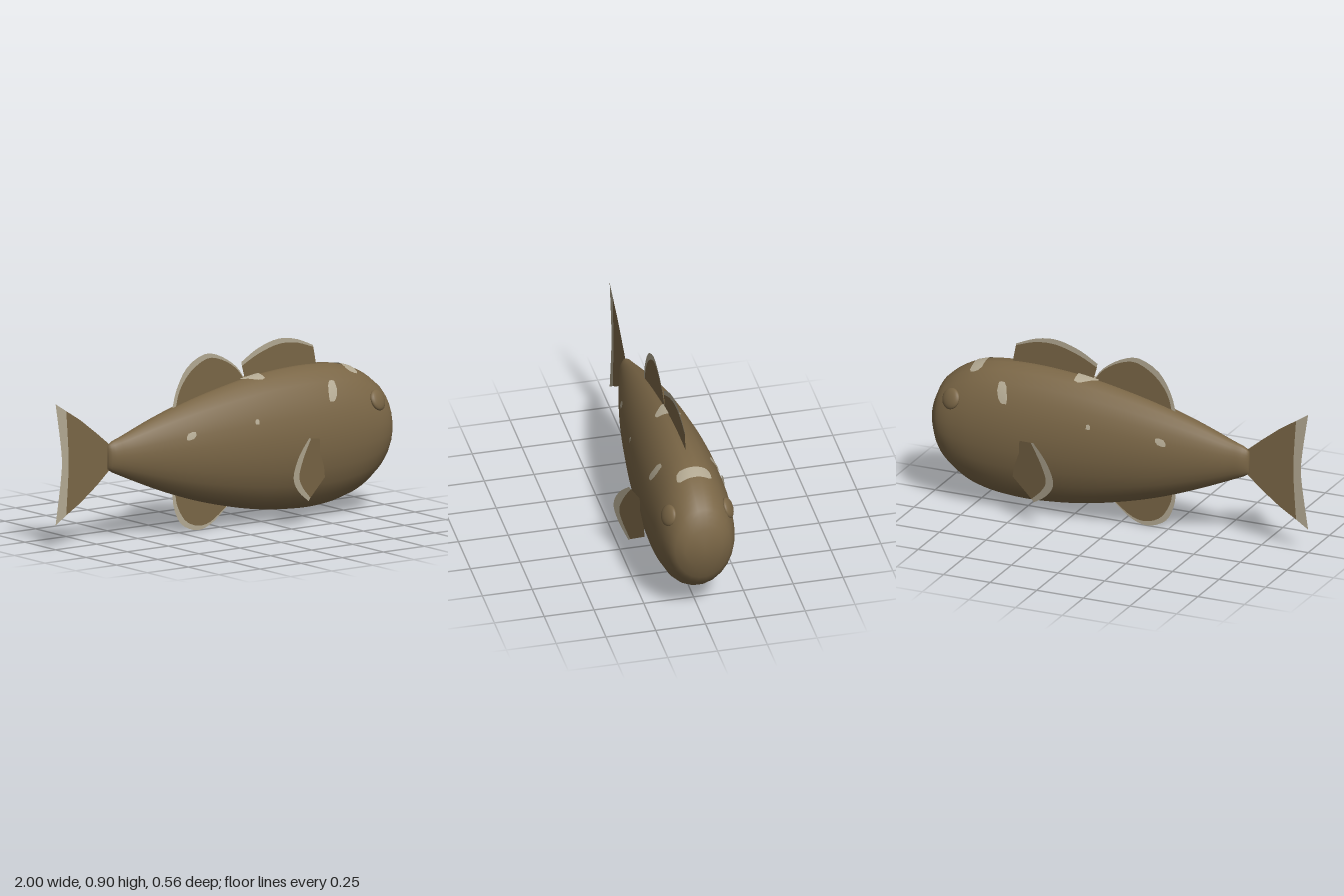
import * as THREE from 'three';

// body stations: x, top y, bottom y, half width
const STATIONS = [
  [-0.685, 0.485, 0.37, 0.016], [-0.665, 0.5, 0.355, 0.032], [-0.6, 0.523, 0.325, 0.052],
  [-0.4, 0.595, 0.24, 0.1], [-0.2, 0.655, 0.167, 0.138], [0, 0.702, 0.112, 0.166],
  [0.2, 0.738, 0.072, 0.186], [0.4, 0.756, 0.052, 0.199], [0.55, 0.757, 0.05, 0.203],
  [0.7, 0.742, 0.071, 0.199], [0.8, 0.71, 0.107, 0.19], [0.9, 0.647, 0.18, 0.167],
  [0.945, 0.598, 0.24, 0.14], [0.975, 0.53, 0.325, 0.095],
];
const NOSE = [1, 0.43, 0];
const profile = new THREE.CubicInterpolant(
  STATIONS.map(s => s[0]), STATIONS.flatMap(s => s.slice(1)), 3);

// point on the body skin; angle runs from +z (side) to +y (top)
function skin(x, angle, lift = 0) {
  const [top, bottom, width] = profile.evaluate(x);
  const h = (top - bottom) / 2 + lift;
  return [x, (top + bottom) / 2 + h * Math.sin(angle), (width + lift) * Math.cos(angle)];
}

function meshGeometry(points, index) {
  const g = new THREE.BufferGeometry();
  g.setAttribute('position', new THREE.Float32BufferAttribute(points.flat(), 3));
  g.setIndex(index);
  g.computeVertexNormals();
  return g;
}

function bodyGeometry() {
  const rings = 48, sides = 24, points = [], index = [];
  for (let i = 0; i <= rings; i++) {
    const t = i / rings;
    const x = -0.685 + 1.66 * (0.35 * t + 0.65 * (1 - Math.cos(Math.PI * t)) / 2);
    for (let j = 0; j < sides; j++) points.push(skin(x, (j + 0.5) / sides * Math.PI * 2));
  }
  const nose = points.push(NOSE) - 1;
  const tail = points.push([-0.685, 0.4275, 0]) - 1;
  for (let j = 0; j < sides; j++) {
    const k = (j + 1) % sides, last = rings * sides;
    for (let i = 0; i < rings; i++) {
      const a = i * sides + j, b = a + sides, c = i * sides + k, d = c + sides;
      index.push(a, b, c, b, d, c);
    }
    index.push(last + j, nose, last + k, tail, j, k);
  }
  return meshGeometry(points, index);
}

// pale marking following the skin; rows are [x, start angle, end angle]
function markingGeometry(rows) {
  const n = 8, points = [], index = [];
  rows.forEach(([x, a0, a1], i) => {
    for (let j = 0; j <= n; j++) points.push(skin(x, a0 + (a1 - a0) * j / n, 0.003));
    if (i === 0) return;
    for (let j = 0; j < n; j++) {
      const a = (i - 1) * (n + 1) + j, b = a + n + 1;
      index.push(a, b, a + 1, b, b + 1, a + 1);
    }
  });
  return meshGeometry(points, index);
}

const vecs = pts => pts.map(p => new THREE.Vector2(...p));
const smooth = pts => new THREE.SplineCurve(vecs(pts)).getPoints(18);

export function createModel() {
  const model = new THREE.Group();
  model.name = 'fish';
  const olive = new THREE.MeshStandardMaterial({ color: 0x7a6646, side: THREE.DoubleSide });
  olive.name = 'olive brown';
  const pale = new THREE.MeshStandardMaterial({ color: 0xb3a992, side: THREE.DoubleSide });
  pale.name = 'pale grey';

  function add(name, geometry, material, parent = model) {
    const mesh = new THREE.Mesh(geometry, material);
    mesh.name = name;
    parent.add(mesh);
    return mesh;
  }

  add('body', bodyGeometry(), olive);

  // flat fin: olive web up to the inner line, pale rim between inner and outer lines
  function fin(name, outer, inner, root, place) {
    const group = new THREE.Group();
    group.name = name;
    const o = smooth(outer), i = smooth(inner);
    const web = new THREE.ShapeGeometry(new THREE.Shape([...i, ...vecs(root)]));
    const rim = new THREE.ShapeGeometry(new THREE.Shape([...o, ...i.slice().reverse()]));
    for (const g of [web, rim]) {
      if (!place) continue;
      const p = g.attributes.position;
      for (let k = 0; k < p.count; k++) p.setZ(k, place(p.getX(k)));
      g.computeVertexNormals();
    }
    add(name + 'Web', web, olive, group);
    add(name + 'Rim', rim, pale, group);
    model.add(group);
  }

  fin('rearDorsalFin',
    [[-0.29, 0.62], [-0.265, 0.715], [-0.2, 0.82], [-0.09, 0.875], [0.01, 0.85], [0.1, 0.79], [0.145, 0.73]],
    [[-0.27, 0.62], [-0.245, 0.71], [-0.18, 0.795], [-0.08, 0.85], [0.01, 0.835], [0.095, 0.785], [0.143, 0.727]],
    [[0.155, 0.7], [-0.05, 0.63], [-0.28, 0.58]]);
  fin('frontDorsalFin',
    [[0.13, 0.81], [0.23, 0.867], [0.35, 0.9], [0.46, 0.888], [0.565, 0.846]],
    [[0.133, 0.79], [0.23, 0.838], [0.35, 0.873], [0.46, 0.87], [0.567, 0.836]],
    [[0.59, 0.72], [0.16, 0.69]]);
  fin('analFin',
    [[-0.29, 0.21], [-0.28, 0.13], [-0.235, 0.045], [-0.14, 0.005], [-0.05, 0.03], [0.045, 0.105]],
    [[-0.272, 0.21], [-0.26, 0.14], [-0.21, 0.06], [-0.13, 0.026], [-0.05, 0.042], [0.043, 0.108]],
    [[0.05, 0.14], [-0.1, 0.19], [-0.27, 0.24]]);
  fin('tailFin',
    [[-1, 0.728], [-0.965, 0.49], [-0.965, 0.37], [-1, 0.125]],
    [[-0.935, 0.686], [-0.922, 0.49], [-0.922, 0.37], [-0.935, 0.168]],
    [[-0.85, 0.22], [-0.75, 0.295], [-0.665, 0.37], [-0.665, 0.485], [-0.75, 0.555], [-0.85, 0.632]]);

  for (const [label, s] of [['left', 1], ['right', -1]]) {
    // pectoral fin slanting away from the flank
    fin(label + 'PectoralFin',
      [[0.37, 0.44], [0.285, 0.36], [0.24, 0.265], [0.28, 0.19], [0.365, 0.128]],
      [[0.385, 0.435], [0.325, 0.35], [0.288, 0.265], [0.315, 0.205], [0.38, 0.142]],
      [[0.5, 0.225], [0.485, 0.33], [0.455, 0.425]],
      x => s * (0.2 + (0.46 - x) * 0.36));

    // eye bulging from the skin
    const eye = add(label + 'Eye', new THREE.SphereGeometry(1, 24, 16), olive);
    eye.position.set(0.848, 0.563, s * 0.149);
    eye.scale.set(0.053, 0.053, 0.021);
    eye.quaternion.setFromUnitVectors(new THREE.Vector3(0, 0, s),
      new THREE.Vector3(0.33, 0.37, s * 0.87).normalize());

    // flank markings
    const flank = [
      ['shoulderMark', [[0.54, 0.56, 0.64], [0.555, 0.555, 0.84], [0.57, 0.565, 0.92], [0.588, 0.64, 0.93], [0.6, 0.76, 0.91]]],
      ['middleMark', [[0.095, 0.4, 0.45], [0.105, 0.39, 0.48], [0.117, 0.39, 0.46]]],
      ['rearMark', [[-0.288, 0.34, 0.4], [-0.275, 0.32, 0.48], [-0.25, 0.34, 0.5], [-0.235, 0.4, 0.48]]],
    ];
    for (const [name, rows] of flank) {
      const mirrored = rows.map(([x, a, b]) => s > 0 ? [x, a, b] : [x, Math.PI - b, Math.PI - a]);
      add(label + name, markingGeometry(mirrored), pale);
    }
  }

  // markings across the back
  const across = rows => markingGeometry(rows.map(([x, a]) => [x, Math.PI / 2 - a, Math.PI / 2 + a]));
  add('crownMark', across([[0.718, 0.33], [0.73, 0.42], [0.75, 0.45], [0.77, 0.45], [0.78, 0.38]]), pale);
  add('backMark', across([[0.12, 0.05], [0.15, 0.16], [0.19, 0.31], [0.21, 0.34], [0.23, 0.31]]), pale);

  return model;
}
